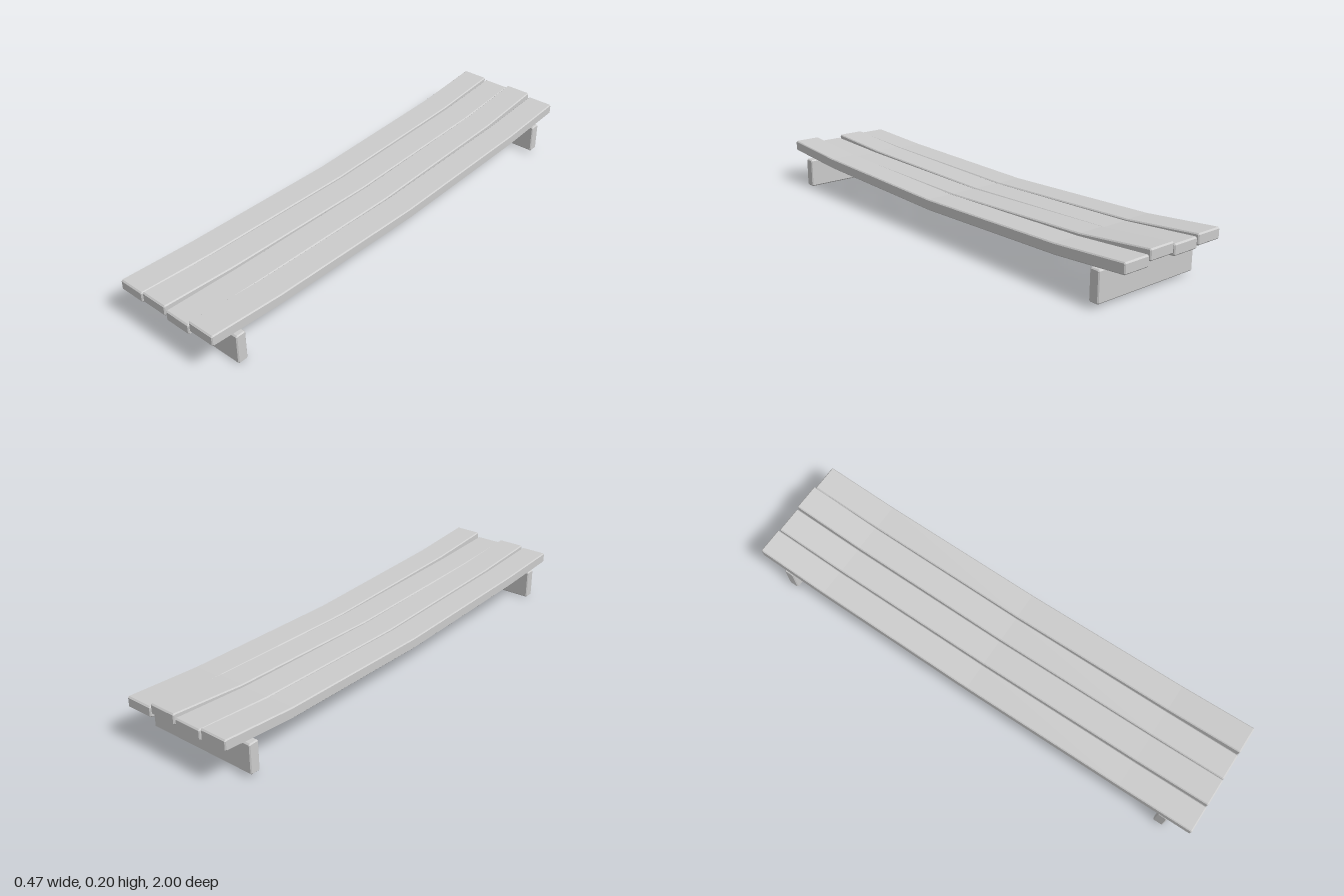
import * as THREE from 'three';

const material = new THREE.MeshStandardMaterial({ color: 0xcccccc, flatShading: true });
const BEVEL = 0.004;

// Extrudes a side profile of [z, y] points across x, with chamfered rims
function acrossX(name, points, xMin, xMax) {
  const shape = new THREE.Shape(points.map(([z, y]) => new THREE.Vector2(z, y)));
  const geometry = new THREE.ExtrudeGeometry(shape, {
    depth: xMax - xMin - 2 * BEVEL,
    bevelThickness: BEVEL, bevelSize: BEVEL, bevelOffset: -BEVEL, bevelSegments: 1,
  });
  geometry.rotateY(-Math.PI / 2);
  geometry.translate(xMax - BEVEL, 0, 0);
  const mesh = new THREE.Mesh(geometry, material);
  mesh.name = name;
  return mesh;
}

// Sagging plank: lowest in the middle, bent up towards both ends
function plank(xMin, xMax, frontTop, backTop) {
  const thickness = 0.043, middle = 0.146, c = 0.005;
  const bend = (end) => middle + (end - middle) * 0.45;
  const f = frontTop, b = backTop;
  const points = [
    [-1, b - thickness + c], [-1 + c, b - thickness],
    [-0.69, bend(b) - thickness], [0, middle - thickness], [0.69, bend(f) - thickness],
    [1 - c, f - thickness], [1, f - thickness + c],
    [1, f - c], [1 - c, f],
    [0.69, bend(f)], [0, middle], [-0.69, bend(b)],
    [-1 + c, b], [-1, b - c],
  ];
  return acrossX('plank', points, xMin, xMax);
}

// Upright board carrying the planks
function support(name, z, y0, y1) {
  const h = 0.021, c = 0.005;
  const points = [
    [z - h, y0 + c], [z - h + c, y0], [z + h - c, y0], [z + h, y0 + c],
    [z + h, y1 - c], [z + h - c, y1], [z - h + c, y1], [z - h, y1 - c],
  ];
  return acrossX(name, points, -0.235, 0.235);
}

export function createModel() {
  const bench = new THREE.Group();
  bench.name = 'bench';

  // Four planks, each warped a little differently: x range, front and back top heights
  const planks = [
    [-0.235, -0.124, 0.170, 0.200],
    [-0.118, -0.004, 0.178, 0.192],
    [0.001, 0.113, 0.165, 0.203],
    [0.118, 0.231, 0.185, 0.186],
  ];
  for (const p of planks) bench.add(plank(...p));

  // Supports near both ends
  bench.add(support('frontSupport', 0.883, 0, 0.121));
  bench.add(support('backSupport', -0.877, 0.012, 0.131));
  return bench;
}
